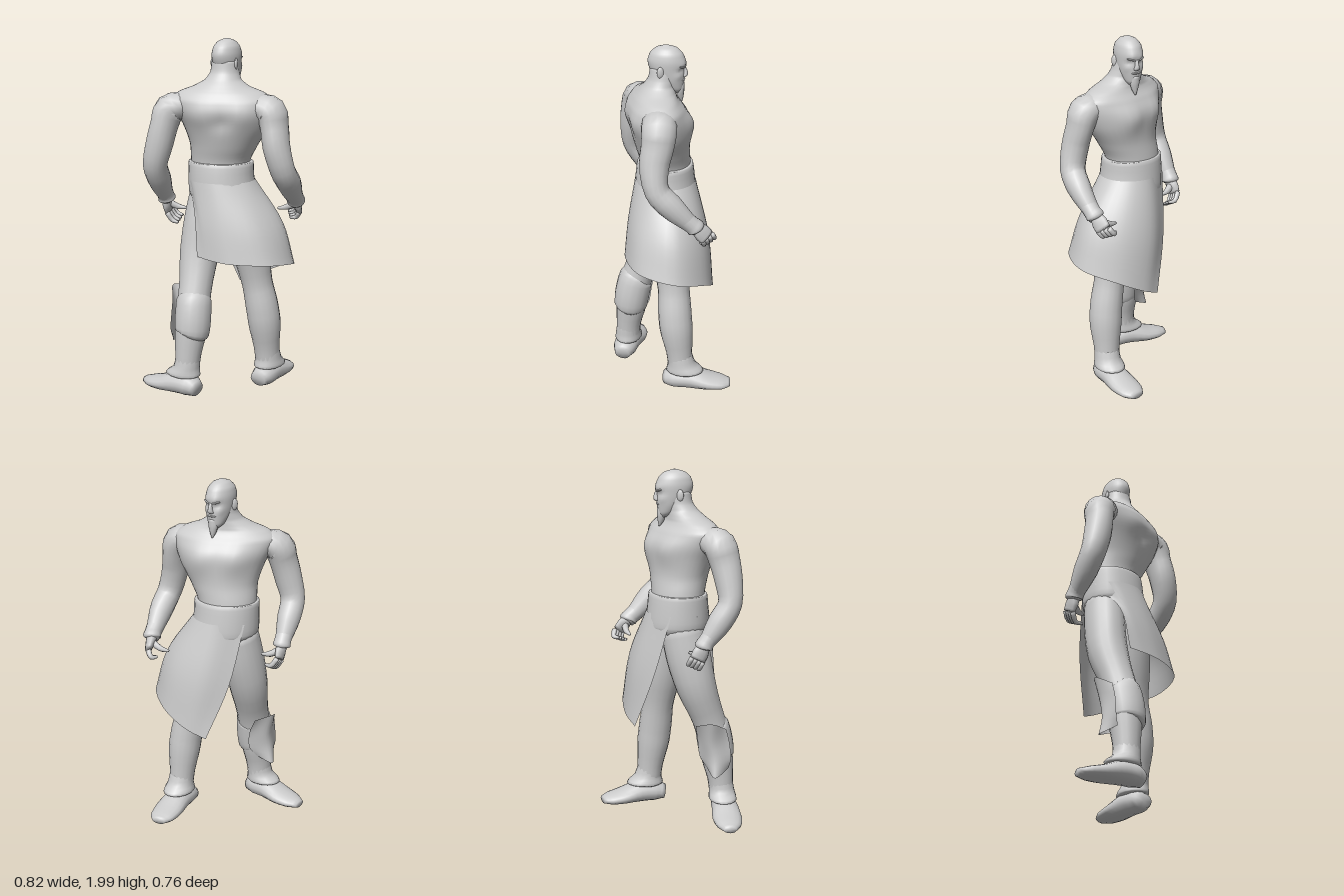
import * as THREE from 'three';

const skin = new THREE.MeshStandardMaterial({ color: 0xcccccc });
skin.name = 'plain grey';
const cloth = skin.clone();
cloth.name = 'plain grey cloth';
cloth.side = THREE.DoubleSide;

const V = (p) => new THREE.Vector3(p[0], p[1], p[2]);

function mesh(name, geometry, parent, material = skin) {
  const m = new THREE.Mesh(geometry, material);
  m.name = name;
  parent.add(m);
  return m;
}

function build(pos, index) {
  const g = new THREE.BufferGeometry();
  g.setAttribute('position', new THREE.Float32BufferAttribute(pos, 3));
  g.setIndex(index);
  g.computeVertexNormals();
  return g;
}

// Smooth closed skin over oval rings [x, y, z, a, b]; a lies along ref, b across it
function loft(rows, ref, level = false, sides = 16, steps = 3) {
  const path = new THREE.CatmullRomCurve3(rows.map(V));
  const size = new THREE.CatmullRomCurve3(rows.map((r) => new THREE.Vector3(r[3], r[4], 0)));
  const n = (rows.length - 1) * steps;
  const a = rows[0], b = rows[rows.length - 1];
  const pos = [], index = [];
  for (let i = 0; i <= n; i++) {
    const c = path.getPoint(i / n), s = size.getPoint(i / n);
    // level rings stay horizontal and follow the direction of the rows
    const t = level ? new THREE.Vector3(0, Math.sign(b[1] - a[1]), 0) : path.getTangent(i / n);
    const u = V(ref).addScaledVector(t, -V(ref).dot(t)).normalize();
    const v = t.clone().cross(u).normalize();
    for (let j = 0; j < sides; j++) {
      const q = (j / sides) * Math.PI * 2;
      const p = c.clone().addScaledVector(u, Math.max(s.x, 0.002) * Math.cos(q))
        .addScaledVector(v, Math.max(s.y, 0.002) * Math.sin(q));
      pos.push(p.x, Math.max(p.y, 0), p.z);
      const k = i * sides + j, k2 = i * sides + ((j + 1) % sides);
      if (i < n) index.push(k, k2, k2 + sides, k, k2 + sides, k + sides);
    }
  }
  // end caps
  const first = pos.length / 3;
  pos.push(a[0], a[1], a[2], b[0], b[1], b[2]);
  for (let j = 0; j < sides; j++) {
    const j2 = (j + 1) % sides;
    index.push(first, j2, j, first + 1, n * sides + j, n * sides + j2);
  }
  return build(pos, index);
}

// Swell or dent a surface softly around a point
function bulge(g, centre, radius, push) {
  const p = g.attributes.position, c = V(centre), d = V(push), v = new THREE.Vector3();
  for (let i = 0; i < p.count; i++) {
    v.fromBufferAttribute(p, i);
    v.addScaledVector(d, Math.exp(-v.distanceToSquared(c) / (radius * radius)));
    p.setXYZ(i, v.x, v.y, v.z);
  }
  g.computeVertexNormals();
}

// Open sheet through a few curves that run side by side
function sheet(lines, cols = 32, rows = 10) {
  const curves = lines.map((l) => new THREE.CatmullRomCurve3(l.map(V)));
  const pos = [], index = [];
  for (let i = 0; i <= cols; i++) {
    const down = new THREE.CatmullRomCurve3(curves.map((c) => c.getPoint(i / cols)));
    for (let j = 0; j <= rows; j++) {
      pos.push(...down.getPoint(j / rows).toArray());
      const k = i * (rows + 1) + j, k2 = k + rows + 1;
      if (i < cols && j < rows) index.push(k, k + 1, k2 + 1, k, k2 + 1, k2);
    }
  }
  return build(pos, index);
}

function ball(name, parent, p, s, turn) {
  const m = mesh(name, new THREE.SphereGeometry(1, 14, 10), parent);
  m.position.set(...p);
  m.scale.set(...s);
  m.rotation.set(...turn);
}

// Palm, four curled fingers and a thumb
function hand(name, parent, wrist, knuckle, tip, thumb, across) {
  const g = new THREE.Group();
  g.name = name;
  parent.add(g);
  const w = V(wrist), k = V(knuckle), t = V(tip), th = V(thumb), d = V(across).normalize();
  const row = (p, a, b) => [p.x, p.y, p.z, a, b];
  mesh('palm', loft([row(w, 0.036, 0.03), row(w.clone().lerp(k, 0.5), 0.048, 0.026),
    row(k, 0.046, 0.018)], across, false, 10), g);
  const out = k.clone().sub(w).normalize();
  for (let i = 0; i < 4; i++) {
    const off = d.clone().multiplyScalar((i - 1.5) * 0.023);
    const a = k.clone().add(off), c = t.clone().add(off);
    const b = a.clone().lerp(c, 0.45).addScaledVector(out, 0.025);
    mesh('finger', loft([row(a, 0.014, 0.016), row(b, 0.013, 0.014), row(c, 0.007, 0.007)], across, false, 8), g);
  }
  const base = w.clone().lerp(k, 0.3), mid = base.clone().lerp(th, 0.55).addScaledVector(out, 0.012);
  mesh('thumb', loft([row(base, 0.022, 0.022), row(mid, 0.017, 0.017), row(th, 0.007, 0.007)], [0, 1, 0.2], false, 8), g);
}

export function createModel() {
  const model = new THREE.Group();
  model.name = 'standing man';
  const up = [0, 1, 0], X = [1, 0, 0], Z = [0, 0, 1];
  const ca = Math.cos(0.4), sa = Math.sin(0.4), chestAxis = [ca, 0, -sa];
  // point in the turned frame of the torso: side, height, back
  const turned = (s, y, b, x = 0, z = 0) => [x + s * ca + b * sa, y, z - s * sa + b * ca];

  // Torso and neck, turned away from the head
  const torso = loft([
    [-0.05, 1.2, 0.04, 0.16, 0.14], [-0.05, 1.32, 0.04, 0.165, 0.14], [-0.02, 1.42, 0.05, 0.19, 0.148],
    [0, 1.52, 0.06, 0.235, 0.158], [0, 1.61, 0.075, 0.272, 0.16], [-0.005, 1.67, 0.085, 0.285, 0.142],
    [-0.01, 1.715, 0.088, 0.235, 0.115], [-0.015, 1.745, 0.08, 0.155, 0.1], [-0.015, 1.78, 0.065, 0.1, 0.085],
    [-0.015, 1.82, 0.05, 0.08, 0.075], [-0.018, 1.88, 0.045, 0.07, 0.07]], chestAxis, true, 36, 5);
  for (const s of [-1, 1]) {
    bulge(torso, turned(s * 0.1, 1.58, -0.15, 0, 0.06), 0.085, turned(0, 0, -0.03));
    bulge(torso, turned(s * 0.12, 1.6, 0.15, 0, 0.06), 0.08, turned(0, 0, 0.015));
  }
  bulge(torso, turned(0, 1.56, 0.16, 0, 0.06), 0.045, turned(0, 0, -0.015));
  mesh('torso', torso, model);

  // Head
  const head = new THREE.Group();
  head.name = 'head';
  head.position.x = -0.018;
  model.add(head);
  const skull = loft([
    [0, 1.74, -0.036, 0.02, 0.018], [0, 1.765, -0.02, 0.044, 0.046], [0, 1.81, 0.0, 0.061, 0.072],
    [0, 1.86, 0.02, 0.07, 0.094], [0, 1.91, 0.025, 0.073, 0.104], [0, 1.955, 0.026, 0.065, 0.09],
    [0, 1.985, 0.026, 0.042, 0.058], [0, 2, 0.026, 0.008, 0.01]], X, true, 32, 4);
  for (const s of [-1, 1]) {
    bulge(skull, [s * 0.03, 1.873, -0.06], 0.018, [0, 0, 0.014]);
    bulge(skull, [s * 0.03, 1.897, -0.066], 0.02, [0, 0, -0.008]);
    bulge(skull, [s * 0.042, 1.842, -0.04], 0.02, [s * 0.004, 0, -0.007]);
  }
  mesh('skull', skull, head);
  mesh('nose', loft([[0, 1.888, -0.068, 0.009, 0.01], [0, 1.858, -0.076, 0.011, 0.014],
    [0, 1.836, -0.072, 0.017, 0.017], [0, 1.826, -0.065, 0.01, 0.008]], X, true, 10), head);
  mesh('beard', loft([[0, 1.795, -0.056, 0.022, 0.016], [0, 1.755, -0.05, 0.027, 0.022],
    [0, 1.72, -0.05, 0.018, 0.018], [0, 1.69, -0.058, 0.004, 0.004]], X, true, 10), head);
  ball('moustache', head, [0, 1.813, -0.064], [0.028, 0.007, 0.012], [0, 0, 0]);
  for (const s of [-1, 1]) {
    ball('brow', head, [s * 0.028, 1.889, -0.066], [0.026, 0.006, 0.011], [0, s * -0.4, s * 0.25]);
    ball('ear', head, [s * 0.073, 1.865, 0.045], [0.01, 0.032, 0.02], [0, s * 0.4, 0]);
  }

  // Arms
  mesh('leftArm', loft([
    [0.1, 1.615, 0.05, 0.06, 0.055], [0.19, 1.635, 0.03, 0.088, 0.072], [0.257, 1.615, 0.012, 0.096, 0.085],
    [0.282, 1.54, 0.015, 0.09, 0.074], [0.305, 1.43, 0.03, 0.082, 0.074], [0.333, 1.3, 0.01, 0.068, 0.07],
    [0.333, 1.22, -0.06, 0.07, 0.066], [0.312, 1.12, -0.16, 0.048, 0.046], [0.3, 1.08, -0.2, 0.038, 0.04]], Z), model);
  mesh('leftCuff', loft([[0.323, 1.16, -0.12, 0.05, 0.05], [0.31, 1.11, -0.175, 0.048, 0.047],
    [0.303, 1.09, -0.195, 0.052, 0.051], [0.3, 1.08, -0.2, 0.035, 0.035]], Z), model);
  hand('leftHand', model, [0.3, 1.09, -0.2], [0.285, 1.03, -0.255], [0.235, 0.995, -0.235], [0.18, 1.03, -0.2], [0.5, -0.3, 0.6]);

  mesh('rightArm', loft([
    [-0.11, 1.615, 0.13, 0.06, 0.055], [-0.2, 1.635, 0.185, 0.085, 0.072], [-0.258, 1.615, 0.23, 0.092, 0.085],
    [-0.275, 1.54, 0.255, 0.086, 0.076], [-0.298, 1.43, 0.275, 0.077, 0.077], [-0.328, 1.31, 0.278, 0.066, 0.07],
    [-0.34, 1.22, 0.225, 0.068, 0.066], [-0.352, 1.12, 0.155, 0.047, 0.046], [-0.355, 1.08, 0.13, 0.038, 0.038]], Z), model);
  mesh('rightCuff', loft([[-0.347, 1.16, 0.183, 0.05, 0.05], [-0.354, 1.11, 0.145, 0.047, 0.047],
    [-0.356, 1.085, 0.13, 0.051, 0.05], [-0.356, 1.075, 0.127, 0.035, 0.035]], Z), model);
  hand('rightHand', model, [-0.356, 1.085, 0.13], [-0.365, 1.015, 0.095], [-0.295, 0.965, 0.085], [-0.262, 1.03, 0.07], [0.1, -0.35, 0.7]);

  // Legs
  mesh('leftLeg', loft([
    [0.06, 1.15, 0.01, 0.1, 0.12], [0.09, 0.98, 0.0, 0.11, 0.125], [0.115, 0.8, -0.025, 0.104, 0.113],
    [0.142, 0.62, -0.045, 0.086, 0.09], [0.165, 0.5, -0.055, 0.092, 0.095], [0.177, 0.4, -0.065, 0.093, 0.095],
    [0.182, 0.24, -0.085, 0.074, 0.075], [0.185, 0.12, -0.095, 0.068, 0.068]], X, false, 18), model);
  mesh('rightLeg', loft([
    [-0.11, 1.15, 0.05, 0.11, 0.12], [-0.13, 0.98, 0.085, 0.11, 0.125], [-0.135, 0.8, 0.13, 0.11, 0.113],
    [-0.115, 0.6, 0.205, 0.093, 0.093], [-0.108, 0.47, 0.245, 0.094, 0.094], [-0.11, 0.36, 0.26, 0.088, 0.09],
    [-0.115, 0.24, 0.278, 0.074, 0.074], [-0.12, 0.12, 0.285, 0.066, 0.066]], X, false, 18), model);
  mesh('kneeWrap', loft([[-0.115, 0.565, 0.215, 0.08, 0.08], [-0.108, 0.545, 0.228, 0.1, 0.1],
    [-0.1, 0.45, 0.25, 0.103, 0.103], [-0.1, 0.37, 0.262, 0.099, 0.098], [-0.105, 0.35, 0.266, 0.075, 0.075]], X), model);

  // Shin guard standing off the front of the right leg
  mesh('shinGuard', sheet([
    [[-0.21, 0.56, 0.29], [-0.265, 0.61, 0.2], [-0.19, 0.58, 0.12]],
    [[-0.205, 0.48, 0.31], [-0.23, 0.48, 0.2], [-0.14, 0.48, 0.14]],
    [[-0.205, 0.38, 0.32], [-0.23, 0.38, 0.22], [-0.13, 0.38, 0.155]],
    [[-0.19, 0.32, 0.31], [-0.25, 0.285, 0.22], [-0.16, 0.32, 0.19]]], 12, 9), model, cloth);

  // Boots with flared cuffs
  mesh('leftBoot', loft([
    [0.175, 0.06, 0.0, 0.04, 0.05], [0.18, 0.07, -0.06, 0.06, 0.07], [0.172, 0.073, -0.15, 0.062, 0.076],
    [0.16, 0.055, -0.25, 0.045, 0.084], [0.148, 0.045, -0.33, 0.032, 0.072], [0.138, 0.042, -0.375, 0.02, 0.04]], up), model);
  mesh('leftBootCuff', loft([[0.183, 0.24, -0.085, 0.07, 0.07], [0.185, 0.17, -0.1, 0.074, 0.08],
    [0.182, 0.125, -0.118, 0.084, 0.108], [0.18, 0.11, -0.105, 0.06, 0.07]], X, true), model);
  mesh('rightBoot', loft([
    [-0.035, 0.05, 0.305, 0.04, 0.045], [-0.09, 0.068, 0.3, 0.062, 0.07], [-0.17, 0.07, 0.297, 0.062, 0.076],
    [-0.27, 0.05, 0.29, 0.045, 0.084], [-0.35, 0.04, 0.285, 0.033, 0.07], [-0.408, 0.035, 0.28, 0.02, 0.035]], up), model);
  mesh('rightBootCuff', loft([[-0.115, 0.24, 0.278, 0.07, 0.07], [-0.122, 0.17, 0.285, 0.076, 0.073],
    [-0.145, 0.125, 0.287, 0.106, 0.08], [-0.13, 0.11, 0.287, 0.065, 0.06]], X, true), model);

  // Waist sash and wrapped skirt, open on the right side
  mesh('sash', loft([[-0.048, 1.325, 0.04, 0.16, 0.135], [-0.047, 1.32, 0.04, 0.182, 0.154],
    [-0.045, 1.24, 0.04, 0.184, 0.165], [-0.038, 1.15, 0.037, 0.19, 0.172], [-0.035, 1.11, 0.037, 0.17, 0.16]],
  chestAxis, true, 28), model);
  const waist = [180, 138, 90, 35, -5, -43, -80, -133].map((deg) => {
    const q = deg * Math.PI / 180;
    return turned(0.188 * Math.cos(q), 1.22, 0.169 * Math.sin(q), -0.045, 0.04);
  });
  mesh('skirt', sheet([
    waist,
    [[-0.11, 1.05, 0.215], [-0.045, 1.01, 0.24], [0.09, 0.98, 0.225], [0.25, 0.98, 0.11],
      [0.285, 0.98, -0.08], [0.14, 0.95, -0.205], [-0.04, 0.9, -0.21], [-0.17, 0.87, -0.115]],
    [[-0.07, 0.81, 0.25], [0.02, 0.8, 0.255], [0.14, 0.79, 0.235], [0.32, 0.78, 0.11],
      [0.35, 0.75, -0.1], [0.2, 0.69, -0.235], [0.03, 0.61, -0.252], [-0.08, 0.56, -0.21]]]), model, cloth);

  return model;
}
